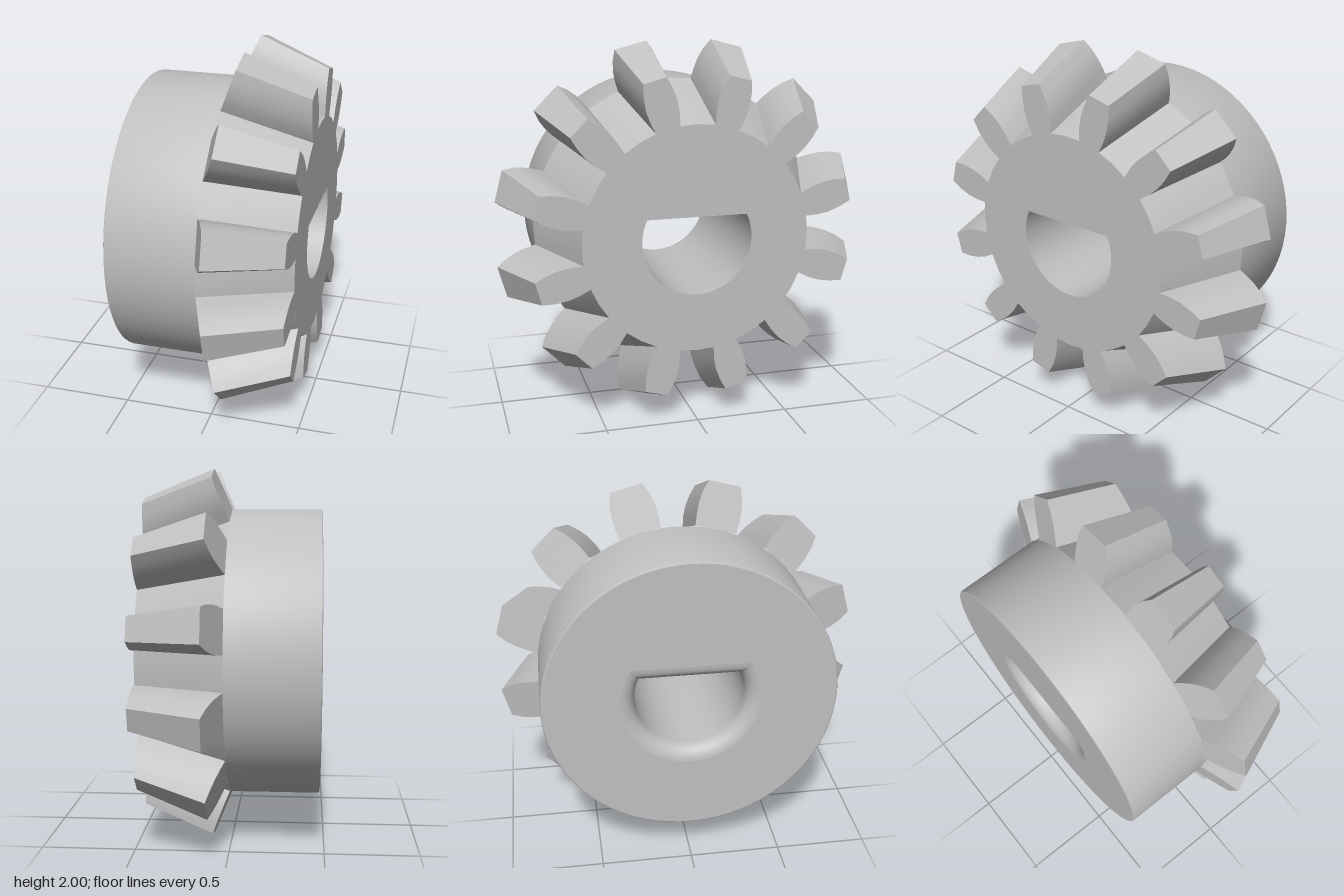
import * as THREE from 'three';
import { toCreasedNormals } from 'three/addons/utils/BufferGeometryUtils.js';

const TEETH = 12;
const FRONT = 0.475, BACK = -0.475, SEAT = 0.01; // positions along the x axle
const HUB_R = 0.79, BORE_R = 0.295, BORE_FLAT = 0.125, FILLET = 0.08;
const rad = THREE.MathUtils.degToRad;
const polar = (r, a) => new THREE.Vector2(r * Math.cos(a), r * Math.sin(a));

// A 2D loop (u, v) placed across the axle at position x
const place = (x, p) => new THREE.Vector3(x, p.y, -p.x);

function circle(r, n = 72) {
  return Array.from({ length: n }, (_, i) => polar(r, (i / n) * Math.PI * 2));
}

// D-shaped bore outline, enlarged by an offset
function dLoop(offset, n = 48) {
  const r = BORE_R + offset, a0 = Math.asin((BORE_FLAT + offset) / r);
  const start = Math.PI - a0, sweep = Math.PI + 2 * a0;
  return Array.from({ length: n + 1 }, (_, i) => polar(r, start + (sweep * i) / n));
}

// Geometry from a list of four-cornered faces, edges kept sharp
function fromQuads(quads) {
  const pos = [];
  for (const [a, b, c, d] of quads) for (const p of [a, b, c, a, c, d]) pos.push(p.x, p.y, p.z);
  const g = new THREE.BufferGeometry();
  g.setAttribute('position', new THREE.Float32BufferAttribute(pos, 3));
  return toCreasedNormals(g, rad(30));
}

// Wall through closed rings ordered from front to back
function wall(rings, inward = false) {
  const quads = [];
  for (let k = 0; k < rings.length - 1; k++) {
    const f = rings[k], b = rings[k + 1];
    f.forEach((p, i) => {
      const j = (i + 1) % f.length;
      const q = [p, b[i], b[j], f[j]];
      quads.push(inward ? q.reverse() : q);
    });
  }
  return fromQuads(quads);
}

// Flat face with a hole, turned toward +x or -x
function face(outline, hole, x, side) {
  const shape = new THREE.Shape(outline);
  shape.holes.push(new THREE.Path(hole));
  return new THREE.ShapeGeometry(shape).rotateY((side * Math.PI) / 2).translate(x, 0, 0);
}

// Tooth profile from root to tip: radius range and half-angles in degrees
const frontTooth = { root: 0.607, tip: 0.863, half: [6.2, 6.8, 6.6, 5.6, 4.1] };
const backTooth = { root: HUB_R, tip: 1.0155, half: [8.3, 8.1, 7.6, 6.6, 5] };

function gearLoop({ root, tip, half }) {
  const pts = [], last = half.length - 1;
  const radius = (i) => root + ((tip - root) * i) / last;
  for (let t = 0; t < TEETH; t++) {
    const c = rad(15 + (360 / TEETH) * t);
    for (let i = 0; i <= last; i++) pts.push(polar(radius(i), c - rad(half[i])));
    for (let i = last; i >= 0; i--) pts.push(polar(radius(i), c + rad(half[i])));
    pts.push(polar(root, c + rad(15))); // middle of the valley
  }
  return pts;
}

export function createModel() {
  const group = new THREE.Group();
  const steel = new THREE.MeshStandardMaterial({ color: 0xc0c0c0 });
  steel.name = 'steel grey';
  const add = (name, geometry) => {
    const mesh = new THREE.Mesh(geometry, steel);
    mesh.name = name;
    mesh.position.y = 1;
    group.add(mesh);
  };

  // Toothed rim: valleys and flanks taper from back to front
  const front2 = gearLoop(frontTooth), back2 = gearLoop(backTooth);
  const front = front2.map((p) => place(FRONT, p));
  const back = back2.map((p) => {
    const t = Math.max(0, (p.length() - backTooth.root) / (backTooth.tip - backTooth.root));
    return place(SEAT + 0.09 * t, p);
  });
  add('toothFlanks', wall([front, back]));
  add('gearFace', face(front2, dLoop(0), FRONT, 1));

  // Sloping back ends of the teeth
  const heels = [], n = backTooth.half.length, step = 2 * n + 1;
  for (let t = 0; t < TEETH; t++) {
    for (let i = 0; i < n - 1; i++) {
      const l = t * step + i, r = t * step + 2 * n - 1 - i;
      heels.push([back[l], back[r], back[r - 1], back[l + 1]]);
    }
  }
  add('toothHeels', fromQuads(heels));

  // Hub with a slightly eased back edge
  const hub = [[SEAT, HUB_R - 0.005], [BACK + 0.01, HUB_R - 0.005], [BACK + 0.003, HUB_R - 0.008], [BACK, HUB_R - 0.015]];
  add('hub', wall(hub.map(([x, r]) => circle(r).map((p) => place(x, p)))));
  add('hubBackFace', face(circle(HUB_R - 0.015), dLoop(FILLET), BACK, -1));

  // D-shaped bore, rounded out at the back
  const bore = [dLoop(0).map((p) => place(FRONT, p))];
  for (let i = 0; i <= 6; i++) {
    const a = (i / 6) * (Math.PI / 2);
    const x = BACK + FILLET * (1 - Math.sin(a));
    bore.push(dLoop(FILLET * (1 - Math.cos(a))).map((p) => place(x, p)));
  }
  add('bore', wall(bore, true));

  return group;
}
